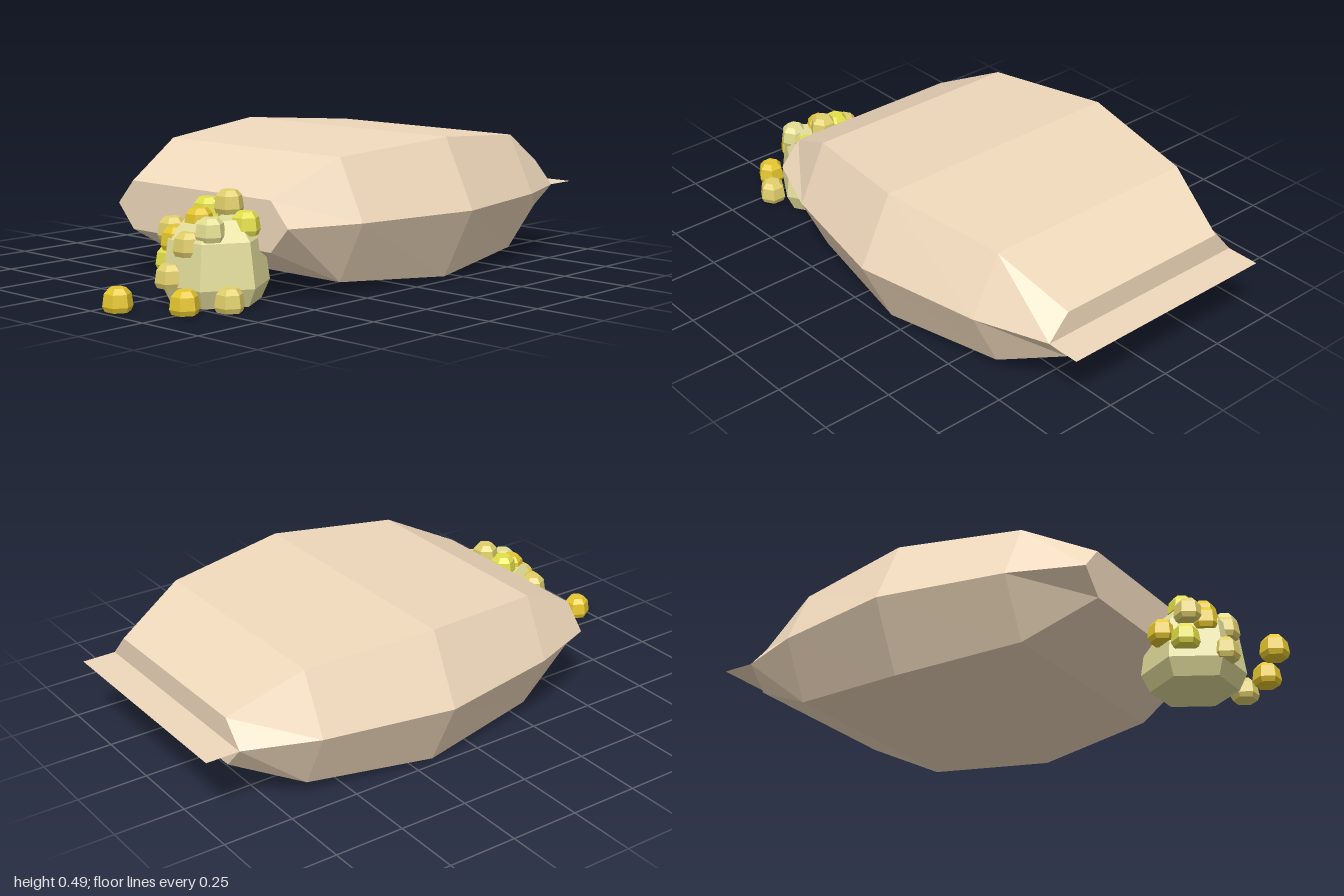
import * as THREE from 'three';

const material = (color) =>
  new THREE.MeshStandardMaterial({ color, flatShading: true, side: THREE.DoubleSide });

// Faceted hexagonal sack lofted through cross-sections, closed at both ends
function sackGeometry() {
  // z, half width of the flat, half width at the seam, half height
  const sections = [
    [0.53, 0.335, 0.412, 0.085],
    [0.28, 0.405, 0.507, 0.207],
    [-0.175, 0.477, 0.595, 0.242],
    [-0.63, 0.405, 0.507, 0.207],
    [-0.88, 0.335, 0.412, 0.085],
  ];
  const points = [], index = [];
  for (const [z, f, m, h] of sections) {
    for (const [x, y] of [[m, 0], [f, h], [-f, h], [-m, 0], [-f, -h], [f, -h]]) points.push(x, y, z);
  }
  for (let i = 0; i < sections.length - 1; i++) {
    for (let j = 0; j < 6; j++) {
      const a = i * 6 + j, b = i * 6 + (j + 1) % 6;
      index.push(a, a + 6, b, b, a + 6, b + 6);
    }
  }
  const back = (sections.length - 1) * 6;
  for (let j = 1; j < 5; j++) {
    index.push(0, j, j + 1);
    index.push(back, back + j + 1, back + j);
  }
  const geometry = new THREE.BufferGeometry();
  geometry.setAttribute('position', new THREE.Float32BufferAttribute(points, 3));
  geometry.setIndex(index);
  geometry.computeVertexNormals();
  return geometry;
}

// Six-sided dome standing on y = 0, corners pointing along x
function domeGeometry(scale) {
  const profile = [[0, 0], [0.042, 0], [0.05, 0.017], [0.044, 0.058], [0.028, 0.076], [0, 0.076]];
  const geometry = new THREE.LatheGeometry(profile.map(([r, y]) => new THREE.Vector2(r * scale, y * scale)), 6);
  return geometry.rotateY(Math.PI / 2);
}

export function createModel() {
  const model = new THREE.Group();
  const add = (name, geometry, mat, x, y, z) => {
    const mesh = new THREE.Mesh(geometry, mat);
    mesh.name = name;
    mesh.position.set(x, y, z);
    model.add(mesh);
    return mesh;
  };

  // Sack and the flat sewn hem at its back
  const cloth = material(0xf0d9bc);
  add('sack', sackGeometry(), cloth, 0, 0.251, 0);
  add('sackHem', new THREE.PlaneGeometry(0.824, 0.12).rotateX(-Math.PI / 2), cloth, 0, 0.251, -0.94);

  // Spilled heap
  add('grainHeap', domeGeometry(3.6), material(0xe4de9c), 0.165, 0, 0.61);

  // Loose grains: x, base y, z, colour
  const gold = material(0xe6c72e), straw = material(0xe2d06c);
  const pale = material(0xe4df92), lime = material(0xe4e04a);
  const grains = [
    [0.19, 0.285, 0.575, straw],
    [0.115, 0.257, 0.6, lime],
    [0.145, 0.232, 0.665, gold],
    [0.267, 0.223, 0.575, lime],
    [0.235, 0.213, 0.7, pale],
    [0.022, 0.19, 0.67, straw],
    [0.077, 0.168, 0.705, gold],
    [0.168, 0.163, 0.735, straw],
    [0, 0.125, 0.58, gold],
    [0.005, 0.09, 0.665, lime],
    [0.108, 0.056, 0.76, straw],
    [0.075, 0.003, 0.95, gold],
    [0.26, 0.003, 0.835, gold],
    [0.337, 0.003, 0.715, straw],
  ];
  const grain = domeGeometry(1);
  for (const [x, y, z, mat] of grains) add('grain', grain, mat, x, y, z);

  return model;
}
